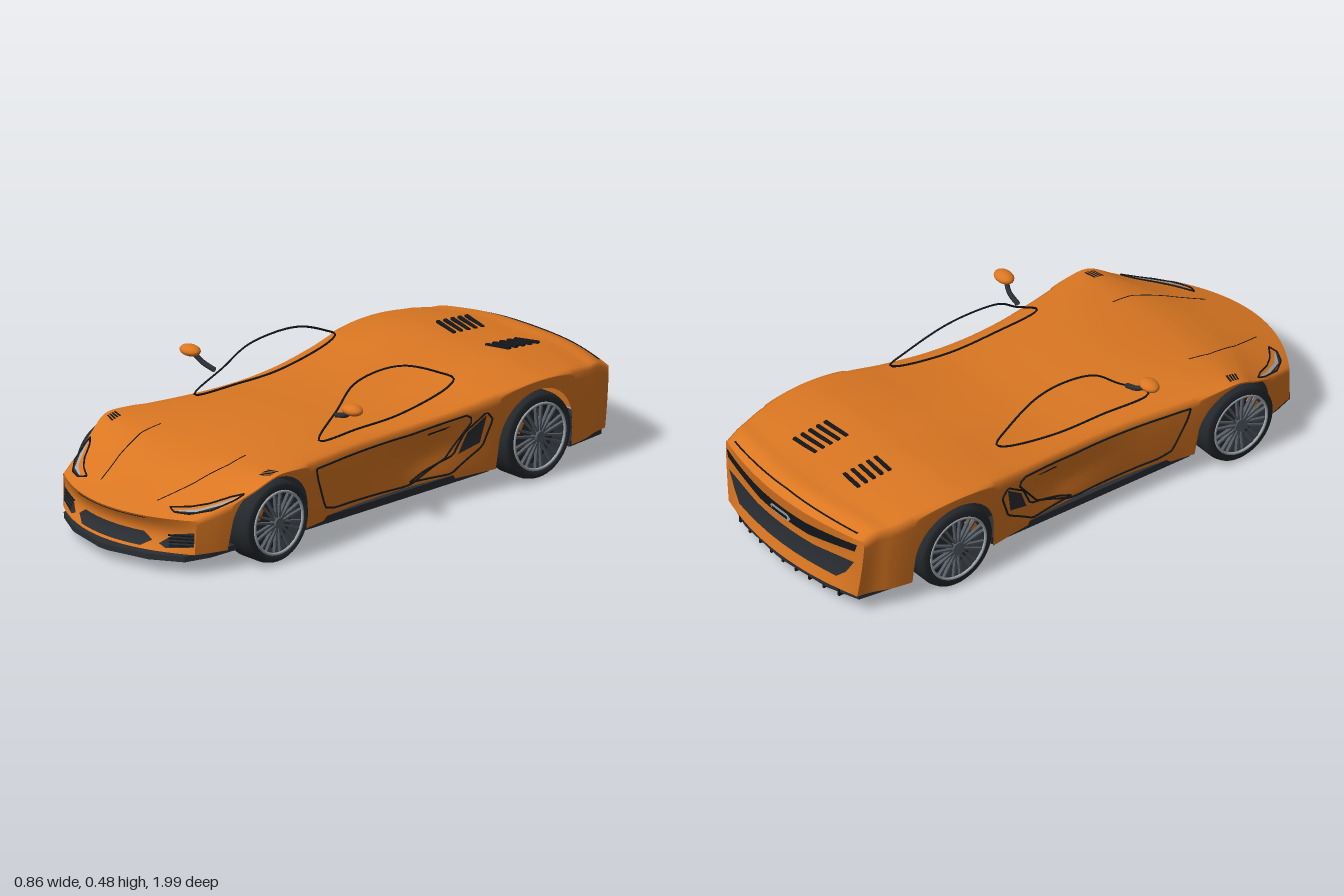
import * as THREE from 'three';

const mat = (name, color) => new THREE.MeshStandardMaterial({ name, color, side: THREE.DoubleSide });
const M = {
  paint: mat('orange paint', 0xdb7722),
  black: mat('black', 0x14171a),
  trim: mat('dark trim', 0x2a2e33),
  tyre: mat('tyre rubber', 0x24282c),
  grey: mat('wheel grey', 0x565c64),
  silver: mat('silver', 0xa0a8b0),
};

// Body stations: z, then shoulder half width, shoulder height, centre height, lower half width, hump
const stations = [
  [-0.985, 0.372, 0.295, 0.302, 0.345, 0], [-0.93, 0.38, 0.318, 0.33, 0.355, 0.003],
  [-0.86, 0.395, 0.322, 0.335, 0.375, 0.006], [-0.75, 0.408, 0.335, 0.346, 0.39, 0.01],
  [-0.58, 0.416, 0.345, 0.355, 0.4, 0.013], [-0.42, 0.41, 0.336, 0.346, 0.39, 0.01],
  [-0.28, 0.39, 0.316, 0.332, 0.37, 0.004], [-0.1, 0.368, 0.3, 0.318, 0.35, 0],
  [0.05, 0.36, 0.295, 0.315, 0.345, 0], [0.2, 0.366, 0.295, 0.318, 0.35, 0],
  [0.35, 0.386, 0.298, 0.318, 0.365, 0], [0.5, 0.408, 0.304, 0.309, 0.385, 0.002],
  [0.62, 0.412, 0.305, 0.294, 0.385, 0.003], [0.72, 0.405, 0.29, 0.27, 0.38, 0.003],
  [0.82, 0.386, 0.258, 0.237, 0.37, 0.002], [0.92, 0.355, 0.218, 0.206, 0.345, 0],
  [0.985, 0.32, 0.188, 0.186, 0.315, 0],
];
const section = new THREE.CubicInterpolant(
  stations.map(r => r[0]), stations.flatMap(r => r.slice(1)), 5, new Float32Array(5));
const END = 0.985, BASE = 0.07;
const wheels = [{ name: 'front', z: 0.6, r: 0.141 }, { name: 'rear', z: -0.57, r: 0.149 }];

const lerp = THREE.MathUtils.lerp, smooth = THREE.MathUtils.smoothstep;
// Nose and tail sweep back in plan
const sweep = (x, z) => z - x * x * (1.05 * smooth(z, 0.5, 0.95) - 0.45 * smooth(-z, 0.7, 0.985));

function topAt(x, z, off = 0) {
  const [w, s, c, , h] = section.evaluate(z);
  const u = Math.min(Math.abs(x) / w, 1);
  return [Math.sign(x) * u * w, c + (s - c) * u ** 3 + h * Math.sin(Math.PI * u) ** 2 + off, sweep(x, z)];
}
function sideAt(side, z, y, off = 0) {
  const [w, s, , wl] = section.evaluate(z);
  const v = THREE.MathUtils.clamp((s - y) / (s - BASE), 0, 1);
  const scoop = 0.018 * Math.exp(-(((z + 0.12) / 0.16) ** 2)) * Math.sin(Math.PI * v) ** 2;
  const x = lerp(w, wl, v ** 1.5) - scoop;
  return [side * (x + off), y, sweep(x, z)];
}
function lowerEdge(z, s) {
  let y = BASE;
  for (const k of wheels) {
    const a = k.r + 0.015, d = z - k.z;
    if (Math.abs(d) < a) y = Math.max(y, k.r + Math.sqrt(a * a - d * d));
  }
  return Math.min(y, s - 0.006);
}
// Bumper faces
function endAt(dir, x, y, off = 0) {
  const k = THREE.MathUtils.clamp((y - BASE) / (dir > 0 ? 0.117 : 0.228), 0, 1);
  const recess = (dir > 0 ? 0.025 : 0.018) * Math.sin(Math.PI * k) * (1 - Math.min(1, Math.abs(x) / 0.35) ** 4);
  return [x, y, sweep(x, dir * END) - dir * (recess - off)];
}

// Surface from a function of two steps
function grid(nu, nv, fn) {
  const pos = [], idx = [];
  for (let i = 0; i <= nu; i++) for (let j = 0; j <= nv; j++) pos.push(...fn(i / nu, j / nv));
  for (let i = 0; i < nu; i++) for (let j = 0; j < nv; j++) {
    const a = i * (nv + 1) + j, b = a + nv + 1;
    idx.push(a, b, a + 1, b, b + 1, a + 1);
  }
  const g = new THREE.BufferGeometry();
  g.setAttribute('position', new THREE.Float32BufferAttribute(pos, 3));
  g.setIndex(idx);
  g.computeVertexNormals();
  return g;
}
// Point along a polyline of [a, b] pairs
function along(pts, t) {
  const f = t * (pts.length - 1), i = Math.min(Math.floor(f), pts.length - 2);
  return [0, 1].map(k => lerp(pts[i][k], pts[i + 1][k], f - i));
}

export function createModel() {
  const car = new THREE.Group();
  car.name = 'sportsCar';
  const add = (name, geo, m, parent = car) => {
    const mesh = new THREE.Mesh(geo, m);
    mesh.name = name;
    parent.add(mesh);
    return mesh;
  };
  const box = (name, m, size, at, parent) => {
    const b = add(name, new THREE.BoxGeometry(...size), m, parent);
    b.position.set(...at);
    return b;
  };
  // Thin plate between two polylines, draped on a surface
  const patch = (name, m, upper, lower, surf) => add(name, grid(24, 6, (u, v) => {
    const p = along(upper, u), q = along(lower, u);
    return surf(lerp(p[0], q[0], v), lerp(p[1], q[1], v));
  }), m);
  // Line following a polyline on a surface
  const line = (name, m, pts, r, surf, closed = false) => {
    const path = closed ? [...pts, pts[0]] : pts, n = path.length * 6;
    const c = Array.from({ length: n + 1 }, (_, i) => new THREE.Vector3(...surf(...along(path, i / n))));
    return add(name, new THREE.TubeGeometry(new THREE.CatmullRomCurve3(c), n, r, 5), m);
  };

  // Body shell with open wheel arches
  add('bodyShell', grid(260, 52, (a, b) => {
    const z = lerp(-END, END, a), t = b * 2 - 1, side = Math.sign(t) || 1, k = Math.abs(t);
    const [w, s] = section.evaluate(z);
    if (k <= 0.6) return topAt(t / 0.6 * w, z);
    return sideAt(side, z, lerp(s, lowerEdge(sweep(w, z), s), (k - 0.6) / 0.4));
  }), M.paint);
  for (const dir of [1, -1]) {
    add(dir > 0 ? 'frontBumper' : 'rearBumper', grid(40, 14, (a, v) => {
      const u = a * 2 - 1, [w, , , wl] = section.evaluate(dir * END);
      const y = lerp(topAt(u * w, dir * END)[1], BASE, v);
      return endAt(dir, u * lerp(w, wl, v ** 1.5), y);
    }), M.paint);
  }

  // Nose grille and rear panels
  const front = (x, y) => endAt(1, x, y, 0.005), rear = (x, y) => endAt(-1, x, y, 0.006);
  patch('noseGrille', M.trim, [[-0.175, 0.102], [-0.14, 0.125], [0.14, 0.125], [0.175, 0.102]],
    [[-0.175, 0.102], [-0.14, 0.08], [0.14, 0.08], [0.175, 0.102]], front);
  line('noseSeam', M.black, [[-0.16, 0.18], [0.16, 0.18]], 0.0012, front);
  patch('tailLightBand', M.black, [[-0.35, 0.28], [-0.12, 0.262], [0.12, 0.262], [0.35, 0.28]],
    [[-0.34, 0.25], [-0.13, 0.215], [0.13, 0.215], [0.34, 0.25]], rear);
  patch('rearGrille', M.trim, [[-0.335, 0.205], [-0.15, 0.185], [0.15, 0.185], [0.335, 0.205]],
    [[-0.3, 0.15], [-0.26, 0.115], [0.26, 0.115], [0.3, 0.15]], rear);
  patch('tailPlate', M.silver, [[-0.055, 0.24], [-0.04, 0.255], [0.04, 0.255], [0.055, 0.24]],
    [[-0.055, 0.24], [-0.04, 0.222], [0.04, 0.222], [0.055, 0.24]], (x, y) => endAt(-1, x, y, 0.013));
  patch('tailPlateInset', M.black, [[-0.04, 0.246], [0.04, 0.246]], [[-0.04, 0.231], [0.04, 0.231]],
    (x, y) => endAt(-1, x, y, 0.016));
  line('tailSeam', M.black, [[-0.33, -0.965], [0, -0.955], [0.33, -0.965]], 0.003, (x, z) => topAt(x, z, 0.001));

  // Underside, splitter and diffuser
  box('floor', M.black, [0.56, 0.02, 1.7], [0, 0.067, 0.02]);
  const plan = (name, pts, y, depth) => {
    const all = [...pts, ...pts.slice().reverse().map(([x, z]) => [-x, z])];
    const g = new THREE.ExtrudeGeometry(new THREE.Shape(all.map(([x, z]) => new THREE.Vector2(x, z))),
      { depth, bevelEnabled: false });
    g.rotateX(Math.PI / 2);
    const m = add(name, g, M.trim);
    m.position.y = y;
    return m;
  };
  const splitter = plan('frontSplitter', [[0.02, 1], [0.18, 0.965], [0.29, 0.905], [0.325, 0.82], [0.34, 0.72], [0.28, 0.72]], 0.118, 0.02);
  splitter.rotation.x = 0.06;
  plan('diffuser', [[0.02, -0.98], [0.22, -0.96], [0.34, -0.92], [0.36, -0.76], [0.28, -0.74]], 0.07, 0.02);
  for (let i = 0; i < 9; i++) {
    const x = (i - 4) * 0.066;
    box('diffuserFin', M.black, [0.008, 0.035, 0.14], [x, 0.053, -0.905 + 0.4 * x * x]);
  }

  // Rear deck slats
  for (const s of [1, -1]) for (let i = 0; i < 5; i++) {
    const z = -0.785 + i * 0.032;
    const slat = box('deckSlat', M.black, [0.1, 0.008, 0.012], [s * 0.125, topAt(0.125, z)[1] + 0.003, z]);
    slat.rotation.set(0, s * 0.16, s * 0.1);
  }

  for (const s of [1, -1]) {
    // Bumper side intakes
    patch('sideIntake', M.trim, [[s * 0.2, 0.095], [s * 0.245, 0.132], [s * 0.312, 0.145]],
      [[s * 0.2, 0.095], [s * 0.225, 0.084], [s * 0.312, 0.096]], front);
    for (let i = 0; i < 4; i++) line('intakeBar', M.black,
      [[s * (0.235 - i * 0.003), 0.093 + i * 0.011], [s * 0.31, 0.1 + i * 0.011]], 0.003, front);

    // Headlights, hood creases and fender vents
    const top = (x, z) => topAt(s * x, z, 0.003);
    line('headlightOutline', M.black, [[0.2, 0.925], [0.26, 0.912], [0.3, 0.89], [0.34, 0.845], [0.372, 0.825],
      [0.362, 0.87], [0.33, 0.93], [0.28, 0.955], [0.23, 0.95]], 0.003, top, true);
    patch('headlightLens', M.silver, [[0.235, 0.938], [0.29, 0.925], [0.34, 0.875], [0.362, 0.842]],
      [[0.235, 0.944], [0.29, 0.942], [0.338, 0.9], [0.362, 0.852]], top);
    patch('headlightShade', M.trim, [[0.22, 0.944], [0.29, 0.943], [0.338, 0.902]],
      [[0.23, 0.95], [0.285, 0.952], [0.335, 0.918]], top);
    line('hoodCrease', M.black, [[0.205, 0.55], [0.21, 0.64], [0.18, 0.78], [0.135, 0.9]], 0.0018, (x, z) => topAt(s * x, z));
    for (let i = 0; i < 4; i++) patch('fenderVent', M.black,
      [[0.352, 0.605 + i * 0.018], [0.392, 0.595 + i * 0.018]],
      [[0.352, 0.617 + i * 0.018], [0.392, 0.607 + i * 0.018]], top);

    // Door seam, side scoop and handle
    const flank = (z, y) => sideAt(s, z, y, 0.002);
    line('doorSeam', M.black, [[0.41, 0.275], [0.4, 0.235], [0.35, 0.12], [0.3, 0.105], [-0.05, 0.09], [-0.2, 0.15],
      [-0.3, 0.27], [-0.27, 0.29], [-0.05, 0.272], [0.2, 0.272]], 0.0035, flank, true);
    line('scoopOutline', M.black, [[-0.05, 0.1], [-0.1, 0.12], [-0.23, 0.155], [-0.27, 0.23], [-0.35, 0.285], [-0.375, 0.255],
      [-0.34, 0.165], [-0.22, 0.092]], 0.0035, flank, true);
    patch('scoopOpening', M.trim, [[-0.28, 0.225], [-0.35, 0.275]], [[-0.25, 0.155], [-0.33, 0.18]], flank);
    patch('doorHandle', M.black, [[-0.12, 0.256], [-0.21, 0.264]], [[-0.12, 0.249], [-0.19, 0.256]], flank);
    box('sideSill', M.trim, [0.1, 0.026, 0.82], [s * 0.315, 0.071, 0.02]);

    // Side window frame
    const frame = [[0.31, 0.325], [0.2, 0.4], [0.12, 0.455], [0, 0.475], [-0.12, 0.465], [-0.25, 0.415], [-0.31, 0.38],
      [-0.28, 0.36], [-0.07, 0.32], [0.12, 0.317]].map(([z, y]) =>
      new THREE.Vector3(s * (0.29 - 0.25 * (y - 0.315) + 0.12 * z * z), y, z));
    add('windowFrame', new THREE.TubeGeometry(new THREE.CatmullRomCurve3(frame, true), 90, 0.0035, 6, true), M.black);

    // Mirrors
    const stalk = [[0.293, 0.39, 0.225], [0.345, 0.405, 0.23], [0.375, 0.43, 0.24]].map(p => new THREE.Vector3(s * p[0], p[1], p[2]));
    add('mirrorStalk', new THREE.TubeGeometry(new THREE.CatmullRomCurve3(stalk), 12, 0.009, 8), M.trim);
    const mirror = add('mirror', new THREE.SphereGeometry(1, 24, 16), M.paint);
    mirror.scale.set(0.041, 0.019, 0.029);
    mirror.position.set(s * 0.39, 0.438, 0.243);

    // Wheels
    for (const k of wheels) {
      const g = new THREE.Group(), r = k.r, R = r * 0.76;
      g.name = k.name + 'Wheel';
      g.position.set(s * 0.356, r, k.z);
      car.add(g);
      const profile = [[R, -0.064], [r * 0.91, -0.064], [r * 0.97, -0.056], [r, -0.04], [r, 0.04], [r * 0.97, 0.056],
        [r * 0.91, 0.064], [R, 0.062], [R, -0.064]].map(p => new THREE.Vector2(...p));
      const turn = (name, geo, m, x) => {
        const mesh = add(name, geo, m, g);
        mesh.rotation.z = -Math.PI / 2;
        mesh.position.x = s * x;
      };
      turn('tyre', new THREE.LatheGeometry(profile, 48), M.tyre, 0);
      turn('brakeDisc', new THREE.CylinderGeometry(R * 0.75, R * 0.75, 0.01, 32), M.trim, 0.022);
      turn('rimBack', new THREE.CylinderGeometry(R, R, 0.006, 32), M.tyre, 0.005);
      turn('hub', new THREE.CylinderGeometry(0.018, 0.024, 0.022, 16), M.grey, 0.056);
      const ring = add('rimRing', new THREE.TorusGeometry(R, 0.005, 8, 48), M.silver, g);
      ring.rotation.y = Math.PI / 2;
      ring.position.x = s * 0.062;
      for (let i = 0; i < 10; i++) {
        const spoke = new THREE.Group();
        spoke.name = 'spoke';
        spoke.rotation.x = i * Math.PI / 5;
        g.add(spoke);
        for (const q of [-1, 1]) {
          const bar = box('spokeBar', M.grey, [0.012, R * 0.85, 0.007], [s * 0.055, R * 0.56, q * 0.009], spoke);
          bar.rotation.x = q * 0.09;
        }
      }
      const calliper = box('brakeCalliper', M.paint, [0.02, 0.045, 0.026],
        [s * 0.036, R * 0.42, R * 0.66], g);
      calliper.rotation.x = -0.55;
    }
  }
  return car;
}
